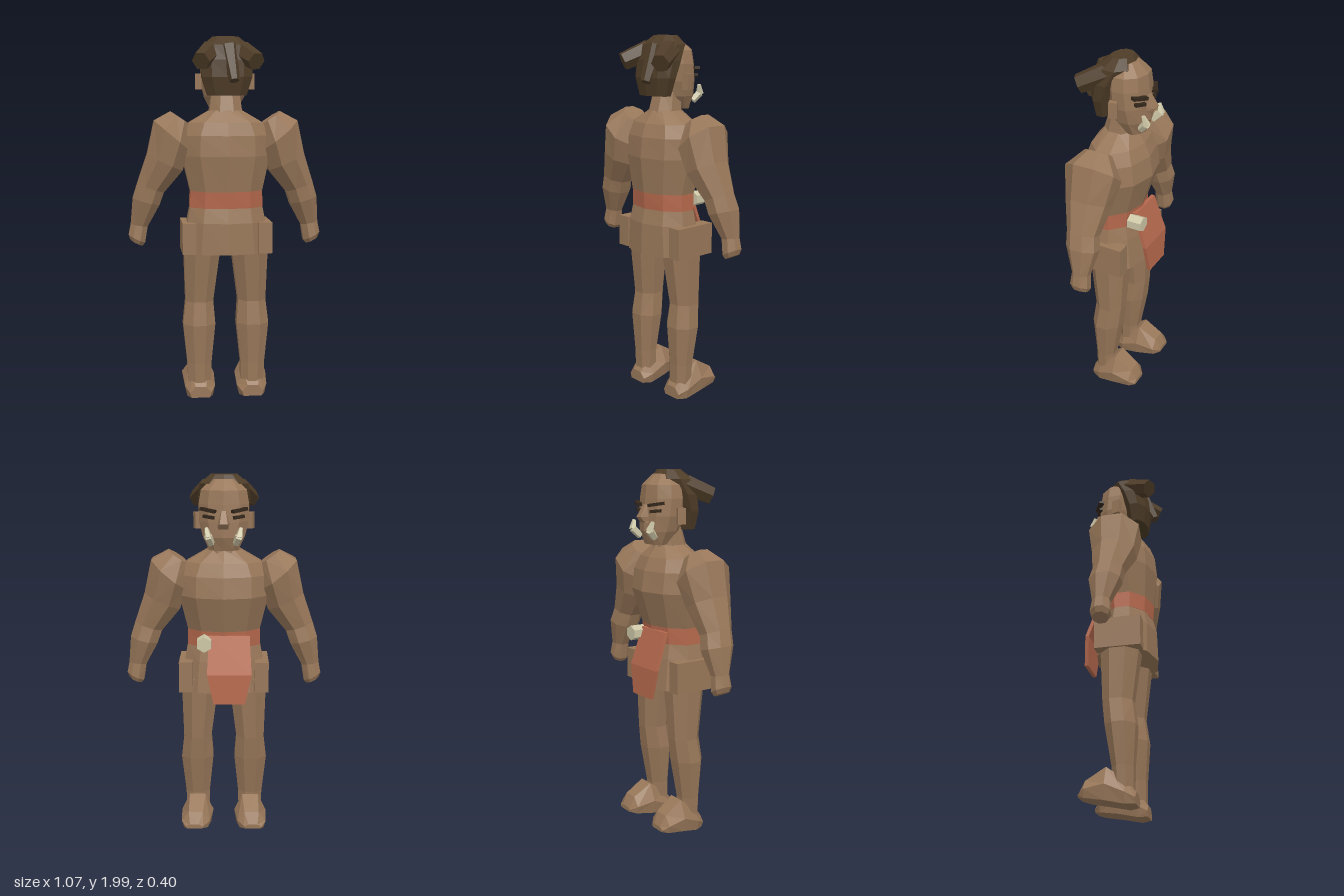
import * as THREE from 'three';

const mat = (name, color) => {
  const m = new THREE.MeshStandardMaterial({ color });
  m.name = name;
  return m;
};

// Ring of n points around centre c, spanned by half-axes u and v (flat sides touch the extents)
function ring(c, u, v, n = 8) {
  const k = 1 / Math.cos(Math.PI / n);
  return Array.from({ length: n }, (_, i) => {
    const a = ((i + 0.5) / n) * Math.PI * 2;
    return [0, 1, 2].map(j => c[j] + k * (u[j] * Math.cos(a) + v[j] * Math.sin(a)));
  });
}

// Horizontal ring from y, x extents and z extents
const level = ([y, x0, x1, z0, z1], n) =>
  ring([(x0 + x1) / 2, y, (z0 + z1) / 2], [(x1 - x0) / 2, 0, 0], [0, 0, (z1 - z0) / 2], n);

// Capped, flat-shaded skin over a list of rings, always facing outwards
function loft(rings) {
  const n = rings[0].length, tris = [];
  for (let r = 0; r + 1 < rings.length; r++) {
    for (let i = 0; i < n; i++) {
      const j = (i + 1) % n, A = rings[r], B = rings[r + 1];
      tris.push([A[i], B[i], B[j]], [A[i], B[j], A[j]]);
    }
  }
  const first = rings[0], last = rings[rings.length - 1];
  for (let i = 1; i + 1 < n; i++) {
    tris.push([first[0], first[i], first[i + 1]], [last[0], last[i + 1], last[i]]);
  }
  const o = new THREE.Vector3(...first[0]);
  let volume = 0;
  for (const t of tris) {
    const [a, b, c] = t.map(p => new THREE.Vector3(...p).sub(o));
    volume += a.dot(b.cross(c));
  }
  if (volume < 0) tris.forEach(t => t.reverse());
  const g = new THREE.BufferGeometry();
  g.setAttribute('position', new THREE.Float32BufferAttribute(tris.flat(2), 3));
  g.computeVertexNormals();
  return g;
}

export function createModel() {
  const skin = mat('skin', 0x987759);
  const cloth = mat('red cloth', 0xb5684c);
  const hair = mat('dark hair', 0x4e3c27);
  const dark = mat('brow', 0x33271b);
  const bone = mat('bone', 0xcdc6a6);
  const model = new THREE.Group();
  model.name = 'figure';

  const add = (name, geometry, material) => {
    const m = new THREE.Mesh(geometry, material);
    m.name = name;
    model.add(m);
    return m;
  };
  const stack = (name, rows, material, n) => add(name, loft(rows.map(r => level(r, n))), material);
  const sym = rows => rows.map(([y, w, z0, z1]) => [y, -w, w, z0, z1]);
  const box = (name, size, pos, material, rot = [0, 0, 0]) => {
    const m = add(name, new THREE.BoxGeometry(...size), material);
    m.position.set(...pos);
    m.rotation.set(...rot);
  };
  // Tapered rod from a to b
  const rod = (name, a, b, ra, rb, material, n) => {
    const m = add(name, new THREE.CylinderGeometry(rb, ra, 1, n).toNonIndexed(), material);
    m.geometry.computeVertexNormals();
    const p = new THREE.Vector3(...a), d = new THREE.Vector3(...b).sub(p);
    m.scale.y = d.length();
    m.position.copy(p).addScaledVector(d, 0.5);
    m.quaternion.setFromUnitVectors(new THREE.Vector3(0, 1, 0), d.normalize());
  };

  // Trunk
  stack('pelvis', sym([[0.83, 0.235, -0.15, 0.17], [1.0, 0.215, -0.125, 0.165], [1.08, 0.2, -0.105, 0.145]]), skin, 10);
  stack('belt', sym([[1.08, 0.2, -0.107, 0.147], [1.17, 0.197, -0.115, 0.152]]), cloth, 10);
  stack('chest', sym([[1.17, 0.197, -0.115, 0.152], [1.36, 0.24, -0.172, 0.17],
    [1.47, 0.235, -0.155, 0.16], [1.54, 0.2, -0.125, 0.135], [1.605, 0.09, -0.08, 0.085]]), skin, 10);
  stack('neck', sym([[1.59, 0.09, -0.085, 0.09], [1.72, 0.075, -0.075, 0.05]]), skin);

  // Loincloth, bent at the hip, and the belt toggle
  const strip = [[1.15, 0.11, -0.12], [0.95, 0.12, -0.19], [0.79, 0.085, -0.2]];
  add('loincloth', loft(strip.map(([y, w, z]) => [
    [-0.03 - w, y, z + 0.015], [-0.03 + w, y, z + 0.015],
    [-0.03 + w, y, z - 0.005], [-0.03 - w, y, z - 0.005]])), cloth);
  add('beltToggle', loft([-0.105, -0.185].map(z =>
    ring([0.105, 1.115, z], [0.038, 0, 0], [0, 0.036, 0], 6))), bone);

  // Head
  stack('head', sym([[1.61, 0.075, -0.135, -0.04], [1.68, 0.11, -0.158, 0.03], [1.76, 0.13, -0.155, 0.05],
    [1.85, 0.132, -0.148, 0.06], [1.92, 0.12, -0.14, 0.06], [1.975, 0.065, -0.085, 0.03]]), skin, 10);
  add('nose', loft([[1.725, 0.038, -0.17], [1.755, 0.034, -0.197], [1.82, 0.018, -0.158]].map(([y, w, z]) =>
    [[-w, y, -0.13], [w, y, -0.13], [w * 0.6, y, z], [-w * 0.6, y, z]])), skin);

  // Hair cap sloping from the crown down to the nape
  stack('hairCap', sym([[1.685, 0.105, 0.02, 0.13], [1.78, 0.135, 0.0, 0.145], [1.87, 0.142, -0.04, 0.135],
    [1.95, 0.128, -0.088, 0.11], [1.998, 0.07, -0.055, 0.05]]), hair, 10);
  rod('hairLock', [0.01, 1.94, 0.08], [0.03, 1.76, 0.165], 0.05, 0.028, hair, 6);

  for (const s of [1, -1]) {
    const side = s > 0 ? 'left' : 'right';

    // Face details and side hair bunches
    rod(side + 'HairBunch', [s * 0.08, 1.92, 0.04], [s * 0.147, 1.86, 0.17], 0.06, 0.05, hair, 6);
    box(side + 'Ear', [0.035, 0.085, 0.045], [s * 0.14, 1.76, -0.025], skin, [0, s * 0.3, 0]);
    box(side + 'Brow', [0.085, 0.016, 0.03], [s * 0.082, 1.822, -0.142], dark, [0, -s * 0.5, s * 0.15]);
    box(side + 'Eye', [0.06, 0.016, 0.02], [s * 0.078, 1.787, -0.142], dark, [0, -s * 0.5, s * 0.1]);
    rod(side + 'Tusk', [s * 0.065, 1.65, -0.14], [s * 0.08, 1.69, -0.18], 0.02, 0.022, bone, 5);
    rod(side + 'TuskTip', [s * 0.08, 1.685, -0.18], [s * 0.09, 1.735, -0.165], 0.022, 0.01, bone, 5);

    // Arm: inner and outer edge of each ring, depth and z centre
    const arm = [
      [0.195, 1.53, 0.3, 1.6, 0.065, 0],
      [0.2, 1.39, 0.39, 1.55, 0.14, 0.005],
      [0.24, 1.28, 0.43, 1.37, 0.115, 0.01],
      [0.34, 1.16, 0.485, 1.21, 0.08, 0],
      [0.365, 1.09, 0.51, 1.13, 0.083, -0.01],
      [0.43, 0.97, 0.523, 0.985, 0.045, -0.02],
      [0.445, 0.88, 0.535, 0.925, 0.052, -0.02],
      [0.46, 0.862, 0.525, 0.895, 0.04, -0.02],
    ];
    add(side + 'Arm', loft(arm.map(([x0, y0, x1, y1, d, z]) =>
      ring([s * (x0 + x1) / 2, (y0 + y1) / 2, z], [s * (x1 - x0) / 2, (y1 - y0) / 2, 0], [0, 0, d]))), skin);

    // Hip flap
    box(side + 'HipFlap', [0.075, 0.17, 0.25], [s * 0.2075, 0.915, 0.005], skin);

    // Leg
    const leg = [[0.9, 0.025, 0.235, -0.105, 0.115], [0.55, 0.07, 0.225, -0.087, 0.072],
      [0.42, 0.06, 0.24, -0.072, 0.09], [0.2, 0.082, 0.218, -0.035, 0.076], [0.07, 0.085, 0.212, -0.03, 0.074]];
    stack(side + 'Leg', leg.map(([y, a, b, z0, z1]) => [y, Math.min(s * a, s * b), Math.max(s * a, s * b), z0, z1]), skin);

    // Foot: cross-sections from heel to toe (z, bottom, top, centre x, half width)
    const foot = [[0.09, 0.008, 0.07, 0.147, 0.06], [0.04, 0.004, 0.13, 0.147, 0.085], [-0.06, 0.025, 0.2, 0.15, 0.09],
      [-0.165, 0.042, 0.135, 0.158, 0.08], [-0.198, 0.05, 0.075, 0.165, 0.05]];
    add(side + 'Foot', loft(foot.map(([z, y0, y1, x, w]) => {
      const ym = y0 + (y1 - y0) * 0.45;
      return [[-0.85, y0], [0.85, y0], [1, ym], [0.5, y1], [-0.5, y1], [-1, ym]].map(([k, y]) => [s * (x + k * w), y, z]);
    })), skin);
  }
  return model;
}
